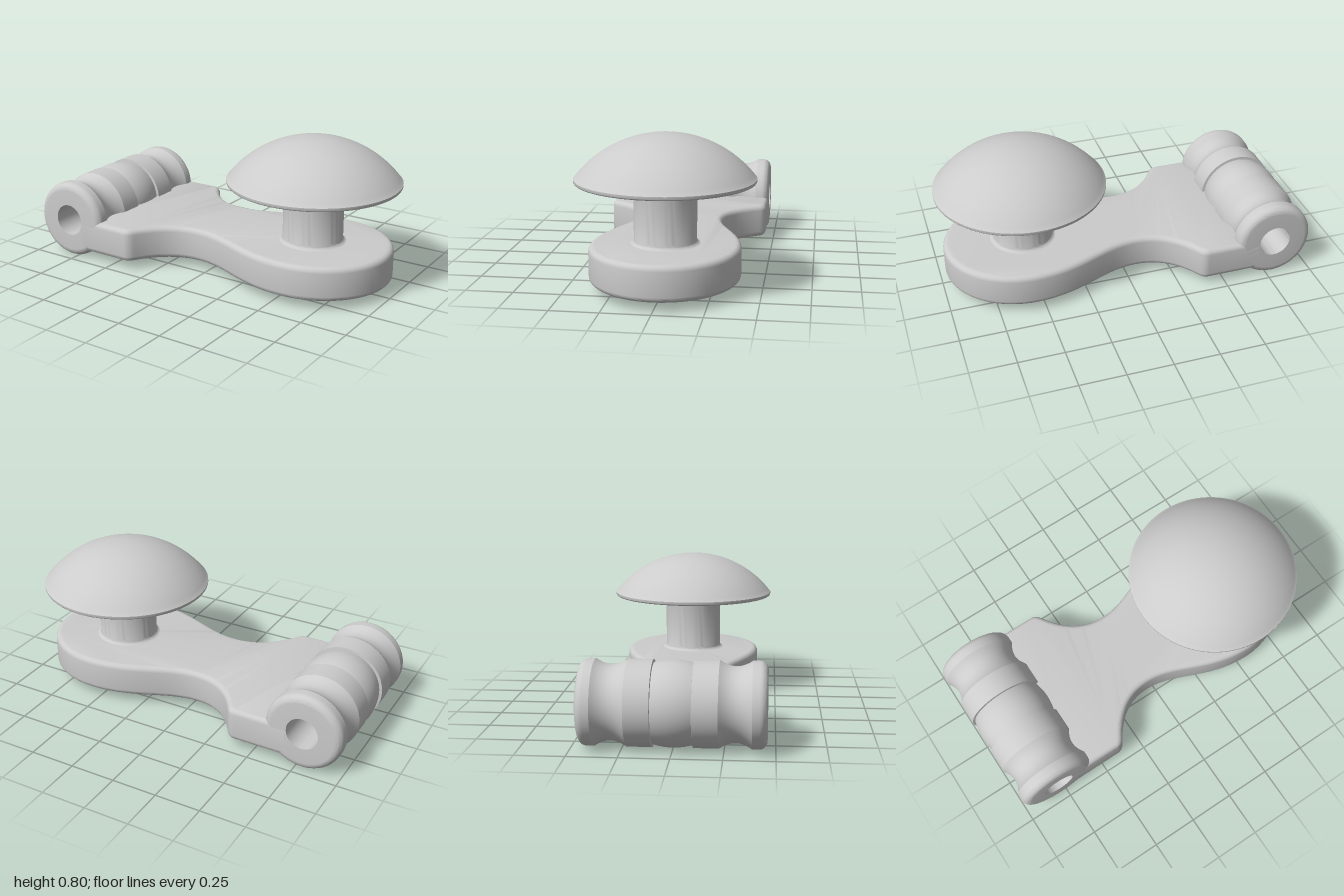
import * as THREE from 'three';
import { toCreasedNormals } from 'three/addons/utils/BufferGeometryUtils.js';

const material = new THREE.MeshStandardMaterial({ color: 0xcccccc });

function addMesh(group, name, geometry) {
  const mesh = new THREE.Mesh(toCreasedNormals(geometry, 0.5), material);
  mesh.name = name;
  group.add(mesh);
  return mesh;
}

// Points of a circular arc from angle a to angle b
function arc(cx, cy, r, a, b, n = 8) {
  return Array.from({ length: n + 1 }, (_, i) => {
    const t = a + ((b - a) * i) / n;
    return new THREE.Vector2(cx + r * Math.cos(t), cy + r * Math.sin(t));
  });
}

// Shallow curve along the axis: base radius plus a parabolic rise or dip
function swell(from, to, base, height, n = 14) {
  return Array.from({ length: n + 1 }, (_, i) => {
    const t = i / n;
    return new THREE.Vector2(base + height * 4 * t * (1 - t), from + (to - from) * t);
  });
}

// Hinge barrel: bored, with two grooves and a crowned middle
function barrelGeometry() {
  const R = 0.215, bore = 0.088, half = 0.46, round = 0.04;
  const lower = [
    new THREE.Vector2(bore, -half),
    ...arc(R - round, -half + round, round, -Math.PI / 2, 0),
    ...swell(-0.385, -0.225, R, -0.028),
    new THREE.Vector2(R, -0.1),
  ];
  const upper = lower.map((p) => new THREE.Vector2(p.x, -p.y)).reverse();
  const profile = [...lower, ...swell(-0.098, 0.098, 0.2, 0.015), ...upper, lower[0].clone()];
  return new THREE.LatheGeometry(profile, 72).rotateX(Math.PI / 2);
}

// Arm: wide at the hinge, waisted, then a rounded pad
function armGeometry() {
  const s = new THREE.Shape();
  s.moveTo(-0.69, -0.46);
  s.lineTo(-0.4, -0.46);
  s.quadraticCurveTo(-0.37, -0.46, -0.35, -0.43);
  s.bezierCurveTo(-0.27, -0.3, -0.18, -0.235, -0.05, -0.235);
  s.bezierCurveTo(0.14, -0.235, 0.28, -0.39, 0.55, -0.39);
  s.bezierCurveTo(0.785, -0.39, 0.975, -0.215, 0.975, 0);
  s.bezierCurveTo(0.975, 0.215, 0.785, 0.39, 0.55, 0.39);
  s.bezierCurveTo(0.28, 0.39, 0.14, 0.235, -0.05, 0.235);
  s.bezierCurveTo(-0.18, 0.235, -0.27, 0.3, -0.35, 0.43);
  s.quadraticCurveTo(-0.37, 0.46, -0.4, 0.46);
  s.lineTo(-0.69, 0.46);
  s.closePath();
  const bevel = 0.03;
  return new THREE.ExtrudeGeometry(s, {
    depth: 0.187 - 2 * bevel, curveSegments: 20,
    bevelThickness: bevel, bevelSize: bevel, bevelOffset: -bevel, bevelSegments: 5,
  }).rotateX(-Math.PI / 2).translate(0, 0.049 + bevel, 0);
}

// Post with fillets at both ends
function postGeometry() {
  const r = 0.162, f = 0.025;
  return new THREE.LatheGeometry([
    ...arc(r + f, 0.235 + f, f, 1.5 * Math.PI, Math.PI),
    ...arc(r + f, 0.557 - f, f, Math.PI, Math.PI / 2),
  ], 64);
}

// Domed cap with a thin rounded rim and flat underside
function capGeometry() {
  const R = 0.586, top = 0.803, rim = 0.46;
  return new THREE.LatheGeometry([
    new THREE.Vector2(0, 0.555),
    ...arc(0.453, 0.567, 0.012, -Math.PI / 2, 0, 5),
    new THREE.Vector2(0.465, 0.576),
    ...arc(0, top - R, R, Math.acos(rim / R), Math.PI / 2, 24),
  ], 80);
}

export function createModel() {
  const model = new THREE.Group();
  model.name = 'hingedKnobLever';
  addMesh(model, 'hingeBarrel', barrelGeometry()).position.set(-0.785, 0.217, 0);
  addMesh(model, 'arm', armGeometry());

  const knob = new THREE.Group();
  knob.name = 'knob';
  knob.position.x = 0.535;
  addMesh(knob, 'knobPost', postGeometry());
  addMesh(knob, 'knobCap', capGeometry());
  model.add(knob);
  return model;
}
